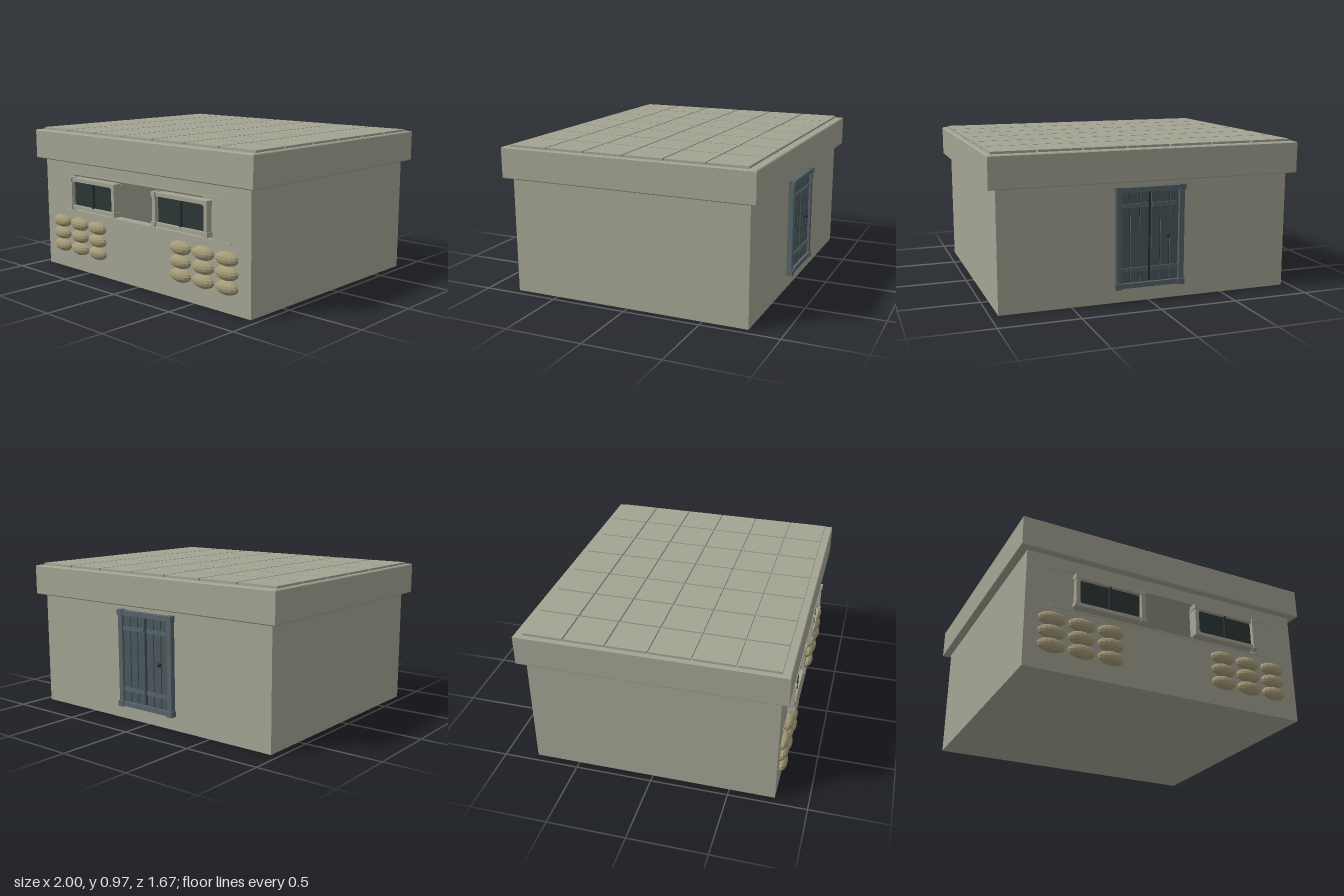
import * as THREE from 'three';

const mat = (name, color) => {
  const m = new THREE.MeshStandardMaterial({ color });
  m.name = name;
  return m;
};

export function createModel() {
  const concrete = mat('concrete', 0xa4a494);
  const sand = mat('sandbag cloth', 0xa59b78);
  const glass = mat('dark glass', 0x2d3735);
  const steel = mat('slate steel', 0x566468);
  const panel = mat('dark steel', 0x4a585d);
  const black = mat('shadow metal', 0x2b3235);

  const model = new THREE.Group();
  model.name = 'bunker';

  // Box given by its min and max corners
  const box = (parent, name, m, x0, x1, y0, y1, z0, z1) => {
    const mesh = new THREE.Mesh(new THREE.BoxGeometry(x1 - x0, y1 - y0, z1 - z0), m);
    mesh.position.set((x0 + x1) / 2, (y0 + y1) / 2, (z0 + z1) / 2);
    mesh.name = name;
    parent.add(mesh);
    return mesh;
  };
  const group = (name) => {
    const g = new THREE.Group();
    g.name = name;
    model.add(g);
    return g;
  };

  // Hollow walls; the front wall has a long viewing slot
  const W = 0.95, D = 0.79, H = 0.76, T = 0.06;
  const walls = group('walls');
  box(walls, 'floor', concrete, -W, W, 0, 0.04, -D, D - T);
  box(walls, 'backWall', concrete, -W, W, 0.04, H, -D, -D + T);
  for (const s of [-1, 1]) {
    const side = box(walls, 'sideWall', concrete, -T / 2, T / 2, 0.04, H, -D + T, D - T);
    side.position.x = s * (W - T / 2);
  }
  const face = new THREE.Shape();
  face.moveTo(-W, 0).lineTo(W, 0).lineTo(W, H).lineTo(-W, H).closePath();
  const slot = new THREE.Path();
  slot.moveTo(-0.64, 0.42).lineTo(-0.64, 0.67).lineTo(0.64, 0.67).lineTo(0.64, 0.42).closePath();
  face.holes.push(slot);
  const front = new THREE.Mesh(
    new THREE.ExtrudeGeometry(face, { depth: T, bevelEnabled: false }), concrete);
  front.position.z = D - T;
  front.name = 'frontWall';
  walls.add(front);

  // Thin lintel and sill strips around the slot
  box(walls, 'lintel', concrete, -0.8, 0.8, 0.668, 0.679, D - 0.02, D + 0.005);
  box(walls, 'sill', concrete, -0.8, 0.8, 0.41, 0.421, D - 0.02, D + 0.005);

  // Overhanging roof slab with a slightly bevelled edge
  const roof = group('roof');
  const b = 0.006;
  const outline = new THREE.Shape();
  outline.moveTo(-1 + b, -0.837 + b).lineTo(1 - b, -0.837 + b)
    .lineTo(1 - b, 0.837 - b).lineTo(-1 + b, 0.837 - b).closePath();
  const slab = new THREE.Mesh(new THREE.ExtrudeGeometry(outline, {
    depth: 0.2 - 2 * b, bevelThickness: b, bevelSize: b, bevelSegments: 1,
  }), concrete);
  slab.rotation.x = -Math.PI / 2;
  slab.position.y = 0.755 + b;
  slab.name = 'roofSlab';
  roof.add(slab);

  // Square roof tiles
  const px = 0.279, pz = 0.263;
  for (let i = 0; i < 7; i++) {
    for (let j = 0; j < 6; j++) {
      const x = (i - 3) * px, z = (j - 2.5) * pz;
      box(roof, 'roofTile', concrete, x - 0.134, x + 0.134, 0.95, 0.969, z - 0.126, z + 0.126);
    }
  }

  // Windows, mirrored left and right
  for (const s of [-1, 1]) {
    const win = group('window');
    win.position.set(s * 0.413, 0.545, D);
    box(win, 'glass', glass, -0.21, 0.21, -0.09, 0.09, -0.01, 0.012);
    box(win, 'mullion', black, -0.006, 0.006, -0.095, 0.09, 0, 0.03);
    for (const t of [-1, 1]) {
      const rail = box(win, 'rail', concrete, -0.22, 0.22, -0.012, 0.012, -0.03, 0.036);
      rail.position.y = t * 0.094;
      const post = box(win, 'post', concrete, -0.013, 0.013, -0.1, 0.1, -0.03, 0.04);
      post.position.x = t * 0.219;
      for (const u of [-1, 1]) {
        const block = box(win, 'cornerBlock', concrete, -0.017, 0.017, -0.016, 0.016, -0.01, 0.046);
        block.position.x = t * 0.221;
        block.position.y = u * 0.093;
      }
    }
  }

  // Sandbags stacked in three rows against the front
  const bagGeo = new THREE.SphereGeometry(1, 14, 8).toNonIndexed();
  bagGeo.computeVertexNormals();
  const bags = group('sandbags');
  for (const s of [-1, 1]) {
    for (let i = 0; i < 3; i++) {
      for (let j = 0; j < 3; j++) {
        const bag = new THREE.Mesh(bagGeo, sand);
        bag.scale.set(0.088, 0.045, 0.042);
        bag.position.set(s * (0.395 + i * 0.19) - 0.005, 0.157 + j * 0.086, D + 0.002);
        bag.name = 'sandbag';
        bags.add(bag);
      }
    }
  }

  // Double steel door on the back, built facing +z then turned round
  const door = group('door');
  door.position.set(0, 0.408, -D);
  door.rotation.y = Math.PI;
  box(door, 'doorBacking', black, -0.2, 0.2, -0.3, 0.3, -0.01, 0.008);
  for (const s of [-1, 1]) {
    for (let i = 0; i < 3; i++) {
      const board = box(door, 'board', panel, -0.027, 0.027, -0.295, 0.295, 0, 0.018);
      board.position.x = s * (0.037 + i * 0.062);
    }
    for (const y of [-0.2, 0.2]) {
      const strap = box(door, 'strap', steel, -0.088, 0.088, y - 0.013, y + 0.013, 0, 0.025);
      strap.position.x = s * 0.1;
    }
    const jamb = box(door, 'jamb', steel, -0.017, 0.017, -0.3, 0.3, -0.01, 0.034);
    jamb.position.x = s * 0.207;
    const head = box(door, 'headRail', steel, -0.215, 0.215, -0.015, 0.015, -0.01, 0.036);
    head.position.y = s * 0.298;
    for (const u of [-1, 1]) {
      const block = box(door, 'cornerBlock', steel, -0.021, 0.021, -0.018, 0.018, -0.01, 0.042);
      block.position.x = s * 0.208;
      block.position.y = u * 0.3;
    }
  }
  const knob = new THREE.Mesh(new THREE.SphereGeometry(0.014, 12, 8), black);
  knob.position.set(0.12, 0, 0.026);
  knob.name = 'knob';
  door.add(knob);

  return model;
}
